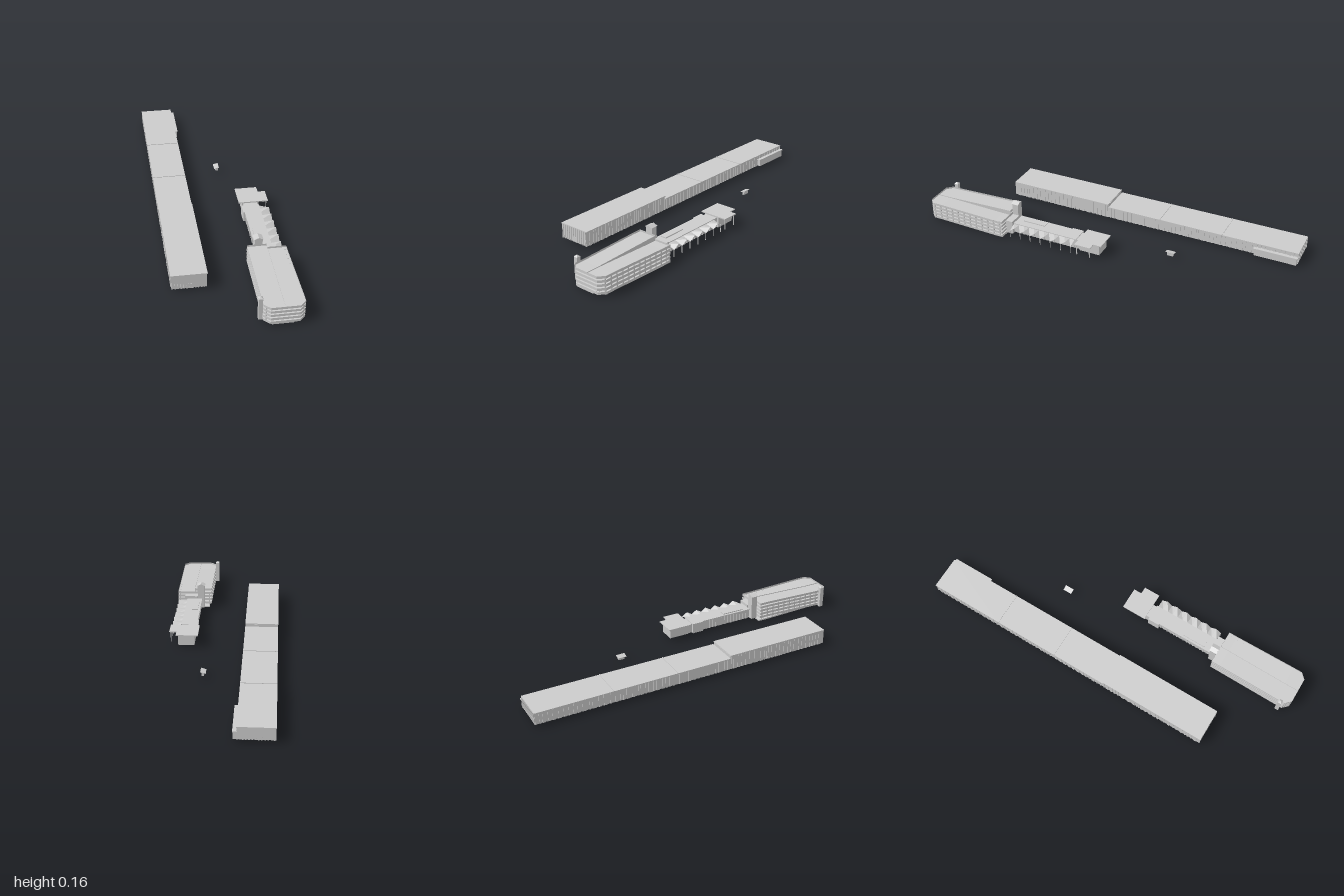
import * as THREE from 'three';

const mat = new THREE.MeshStandardMaterial({ color: 0xcccccc, flatShading: true, side: THREE.DoubleSide });

function add(parent, name, geometry) {
  const mesh = new THREE.Mesh(geometry, mat);
  mesh.name = name;
  parent.add(mesh);
  return mesh;
}

// Box given by its limits on each axis
function box(parent, name, x0, x1, y0, y1, z0, z1) {
  const g = new THREE.BoxGeometry(x1 - x0, y1 - y0, z1 - z0);
  g.translate((x0 + x1) / 2, (y0 + y1) / 2, (z0 + z1) / 2);
  return add(parent, name, g);
}

// Thin surface stretched between two rows of points
function ribbon(parent, name, a, b) {
  const pos = [], idx = [];
  a.forEach((p, i) => {
    pos.push(...p, ...b[i]);
    if (i) idx.push(2 * i - 2, 2 * i, 2 * i - 1, 2 * i - 1, 2 * i, 2 * i + 1);
  });
  const g = new THREE.BufferGeometry();
  g.setAttribute('position', new THREE.Float32BufferAttribute(pos, 3));
  g.setIndex(idx);
  g.computeVertexNormals();
  return add(parent, name, g);
}

function group(parent, name) {
  const g = new THREE.Group();
  g.name = name;
  parent.add(g);
  return g;
}

// Four walls with no floor or roof
function walls(parent, name, x0, x1, y0, y1, z0, z1, t = 0.003) {
  box(parent, name, x0, x0 + t, y0, y1, z0, z1);
  box(parent, name, x1 - t, x1, y0, y1, z0, z1);
  box(parent, name, x0 + t, x1 - t, y0, y1, z0, z0 + t);
  box(parent, name, x0 + t, x1 - t, y0, y1, z1 - t, z1);
}

let seed = 7;
const rand = () => (seed = (seed * 16807) % 2147483647) / 2147483647;

// Long hall: four bays, open below, with piers of irregular width
function buildHall(root) {
  const hall = group(root, 'longHall');
  const x0 = -0.296, x1 = -0.122, base = 0.012;
  const bays = [[-1, -0.58, 0.078], [-0.58, -0.22, 0.078], [-0.22, 0.09, 0.078], [0.09, 0.69, 0.095]];
  for (const [z0, z1, top] of bays) {
    box(hall, 'hallRoof', -0.3, -0.118, top - 0.005, top, z0 + 0.001, z1 - 0.001);
    for (const x of [x0, x1 - 0.003]) {
      box(hall, 'hallSideWall', x, x + 0.003, base, top - 0.005, z0, z1);
    }
    for (let z = z0 + 0.004; z < z1 - 0.014;) {
      const w = 0.004 + 0.016 * rand();
      const end = Math.min(z + w, z1 - 0.002);
      box(hall, 'hallPier', x0 - 0.003, x0, base, top - 0.005, z, end);
      box(hall, 'hallPier', x1, x1 + 0.003, base, top - 0.005, z, end);
      z = end + 0.006 + 0.012 * rand();
    }
  }
  for (const z of [-0.58, -0.22]) box(hall, 'roofJoint', -0.3, -0.118, 0.07, 0.081, z - 0.002, z + 0.002);
  box(hall, 'roofStep', x0, x1, 0.073, 0.092, 0.09, 0.094);
  for (const [z, d, top] of [[0.682, 1, 0.09], [-0.995, -1, 0.073]]) {
    box(hall, 'hallEndWall', x0, x1, base, top, z, z + 0.003);
    for (let x = x0; x < x1 - 0.006; x += 0.0145) {
      const front = z + 0.0015 + d * 0.003;
      box(hall, 'endPier', x, x + 0.007, base, top, front - 0.002, front + 0.002);
    }
  }
  box(hall, 'entranceDoors', -0.225, -0.19, base, 0.04, 0.684, 0.688);

  // Low side wing
  walls(hall, 'sideWingWall', -0.122, -0.103, base, 0.05, -0.995, -0.765);
  box(hall, 'sideWingRoof', -0.122, -0.1, 0.05, 0.055, -1, -0.76);
}

// Ramped car deck: one half rises towards the back and the other falls
function buildGarage(root) {
  const garage = group(root, 'parkingGarage');
  const cx = 0.2;
  const stations = [[1, 0.07], [0.97, 0.1], [0.92, 0.1], [0.58, 0.1], [0.53, 0.1]];
  const slope = z => THREE.MathUtils.clamp((0.92 - z) / 0.34, 0, 1) * 0.0105;
  const lift = (row, d) => row.map(([x, y, z]) => [x, y + d, z]);
  const half = (side, y, dir, shrink = 1) => {
    const inner = stations.map(([z]) => [cx, y + dir * slope(z), z]);
    const outer = stations.map(([z, w]) => [cx + side * w * shrink, y + dir * slope(z), z]);
    return { inner, outer };
  };
  for (const side of [-1, 1]) {
    for (let i = 0; i < 5; i++) {
      const { inner, outer } = half(side, 0.017 + 0.0205 * i, -side);
      ribbon(garage, 'deck', inner, outer);
      ribbon(garage, 'deckUnderside', lift(inner, -0.003), lift(outer, -0.003));
      const rim = [inner[0], ...outer, inner[4]];
      ribbon(garage, 'parapet', lift(rim, -0.003), lift(rim, 0.01));
    }
  }
  // Wall between the two top ramps
  ribbon(garage, 'rampWall', half(1, 0.099, -1).inner, half(-1, 0.103, 1).inner);

  // Ground deck, set in on both sides
  for (const [side, shrink, dir] of [[-1, 0.88, -0.95], [1, 0.6, -0.95]]) {
    const { inner, outer } = half(side, 0.01, dir, shrink);
    ribbon(garage, 'groundDeck', inner, outer);
    const rim = [inner[0], ...outer, inner[4]];
    ribbon(garage, 'groundCurb', rim, lift(rim, 0.008));
  }
  for (let i = 0; i < 12; i++) {
    const z = 0.55 + i * 0.038;
    for (const x of [0.115, 0.195, 0.29]) {
      box(garage, 'garageColumn', x - 0.003, x + 0.003, 0.01, 0.092, z - 0.003, z + 0.003);
    }
  }

  // Front stair tower with pyramid cap
  box(garage, 'frontStairTower', 0.08, 0.1, 0.01, 0.131, 0.937, 0.959);
  const cap = new THREE.ConeGeometry(0.016, 0.01, 4);
  cap.rotateY(Math.PI / 4);
  cap.translate(0.09, 0.136, 0.948);
  add(garage, 'frontTowerCap', cap);

  // Rear stair tower with gable roof
  box(garage, 'rearStairTower', 0.14, 0.18, 0.01, 0.15, 0.495, 0.53);
  const gable = new THREE.Shape([[0.136, 0.15], [0.183, 0.15], [0.16, 0.161]].map(p => new THREE.Vector2(...p)));
  const roof = new THREE.ExtrudeGeometry(gable, { depth: 0.042, bevelEnabled: false });
  roof.translate(0, 0, 0.492);
  add(garage, 'rearTowerRoof', roof);
  box(garage, 'rearLobby', 0.18, 0.255, 0.01, 0.085, 0.49, 0.53);
}

// Bus station: hollow hall with a folded canopy on one side
function buildStation(root) {
  const station = group(root, 'busStation');
  walls(station, 'stationWall', 0.16, 0.235, 0.012, 0.066, 0.11, 0.49);
  box(station, 'stationRoof', 0.153, 0.24, 0.066, 0.07, 0.11, 0.49);
  box(station, 'roofLight', 0.165, 0.2, 0.07, 0.075, 0.32, 0.45);
  box(station, 'sideBay', 0.146, 0.16, 0.012, 0.07, 0.11, 0.175);
  for (let i = 0; i < 18; i++) {
    const z = 0.12 + i * 0.0205;
    for (const x of [0.157, 0.234]) box(station, 'windowPost', x, x + 0.004, 0.012, 0.066, z, z + 0.006);
  }

  // Each canopy bay is two sloping triangles meeting at the hall, plus infill
  const bays = 6, step = 0.37 / bays;
  for (let i = 0; i < bays; i++) {
    const z = 0.118 + i * step, mid = z + step / 2;
    ribbon(station, 'canopyFold',
      [[0.24, 0.066, z], [0.24, 0.066, mid], [0.24, 0.066, z + step]],
      [[0.29, 0.05, z], [0.29, 0.072, mid], [0.29, 0.05, z + step]]);
  }
  for (let i = 0; i <= bays; i++) {
    const post = new THREE.CylinderGeometry(0.002, 0.002, 0.042, 6);
    post.translate(0.286, 0.031, 0.118 + i * step);
    add(station, 'canopyPost', post);
  }

  // End pavilion under a stepped flat roof
  box(station, 'pavilionLink', 0.16, 0.235, 0.012, 0.066, 0.085, 0.112);
  walls(station, 'pavilionWall', 0.155, 0.245, 0.012, 0.072, -0.03, 0.086);
  box(station, 'pavilionRoof', 0.135, 0.255, 0.072, 0.077, -0.045, 0);
  box(station, 'pavilionRoof', 0.135, 0.295, 0.072, 0.077, 0, 0.092);
  for (const z of [0.008, 0.082]) box(station, 'pavilionPost', 0.284, 0.288, 0.012, 0.072, z - 0.002, z + 0.002);
}

// Small free-standing kiosk with a sloping roof
function buildKiosk(root) {
  const kiosk = group(root, 'kiosk');
  box(kiosk, 'kioskBody', 0.074, 0.088, 0.01, 0.028, -0.385, -0.35);
  const roof = box(kiosk, 'kioskRoof', -0.0145, 0.0145, -0.0012, 0.0012, -0.025, 0.025);
  roof.position.set(0.079, 0.03, -0.368);
  roof.rotation.z = 0.25;
}

export function createModel() {
  const root = new THREE.Group();
  root.name = 'stationComplex';
  buildHall(root);
  buildGarage(root);
  buildStation(root);
  buildKiosk(root);
  return root;
}
